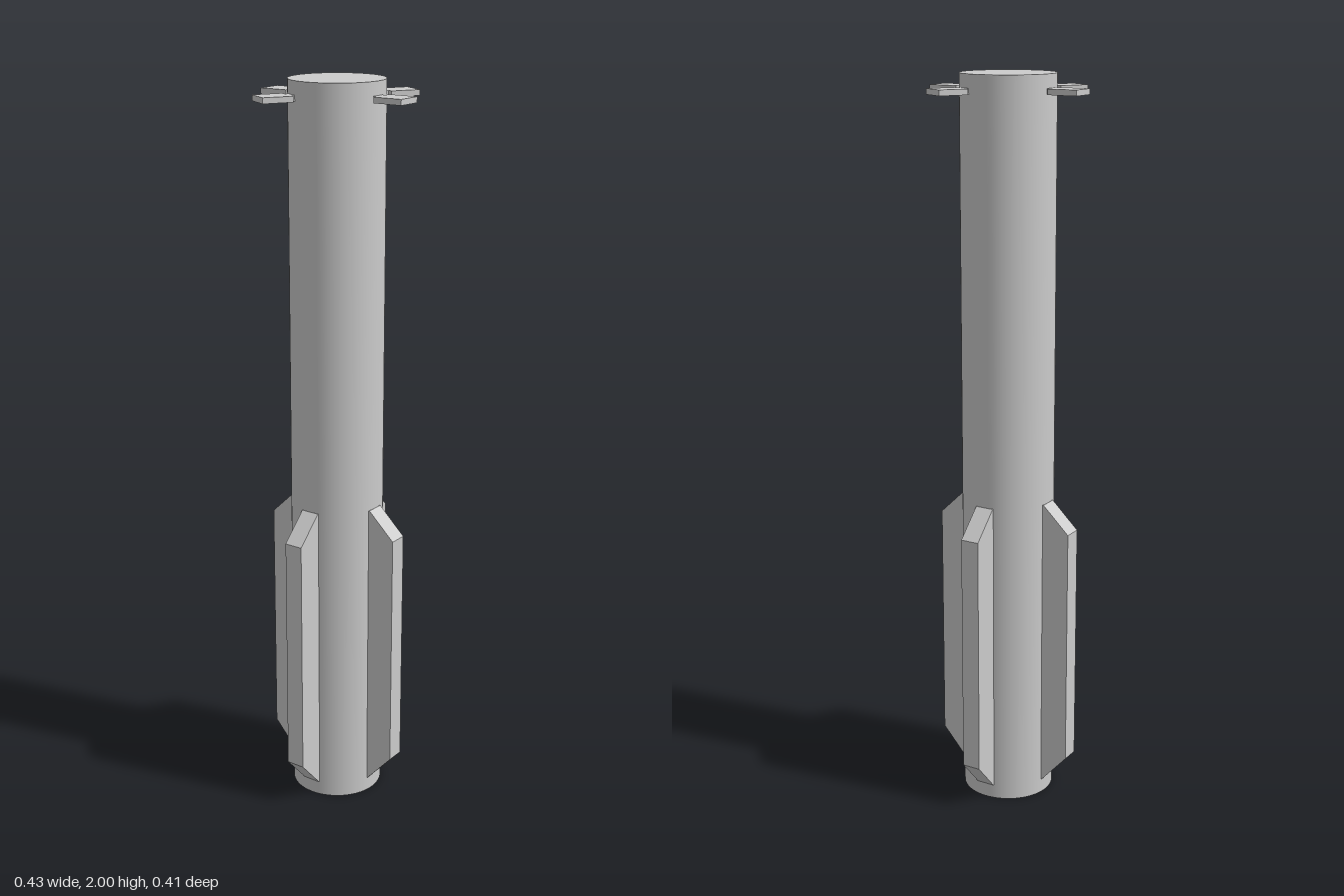
import * as THREE from 'three';

const RADIUS = 0.126;

export function createModel() {
  const model = new THREE.Group();
  const grey = new THREE.MeshStandardMaterial({ color: 0xcccccc });

  function add(parent, name, geometry) {
    const mesh = new THREE.Mesh(geometry, grey);
    mesh.name = name;
    parent.add(mesh);
    return mesh;
  }

  // Long plain tube with closed ends
  add(model, 'body', new THREE.CylinderGeometry(RADIUS, RADIUS, 2, 64)).position.y = 1;

  // Four thick lower fins with chamfered ends, rooted inside the body
  const finShape = new THREE.Shape([
    [0.1, 0.04], [RADIUS, 0.04], [0.202, 0.125],
    [0.202, 0.792], [RADIUS, 0.865], [0.1, 0.865],
  ].map(([x, y]) => new THREE.Vector2(x, y)));
  const finGeometry = new THREE.ExtrudeGeometry(finShape, { depth: 0.052, bevelEnabled: false });
  finGeometry.translate(0, 0, -0.026);
  for (let i = 0; i < 4; i++) {
    add(model, 'lowerFin', finGeometry).rotation.y = i * Math.PI / 2;
  }

  // Four thin horizontal paddles near the top, each on a narrow neck
  const paddleGeometry = new THREE.BoxGeometry(0.082, 0.015, 0.072).translate(0.176, 0, 0);
  const neckGeometry = new THREE.BoxGeometry(0.04, 0.015, 0.038).translate(0.12, 0, 0);
  for (const degrees of [0, 60, 180, 240]) {
    const fin = new THREE.Group();
    fin.name = 'upperFin';
    add(fin, 'paddle', paddleGeometry);
    add(fin, 'neck', neckGeometry);
    fin.position.y = 1.957;
    fin.rotation.y = THREE.MathUtils.degToRad(degrees);
    model.add(fin);
  }

  model.position.z = -0.002;
  const root = new THREE.Group();
  root.name = 'finnedTube';
  root.add(model);
  return root;
}
